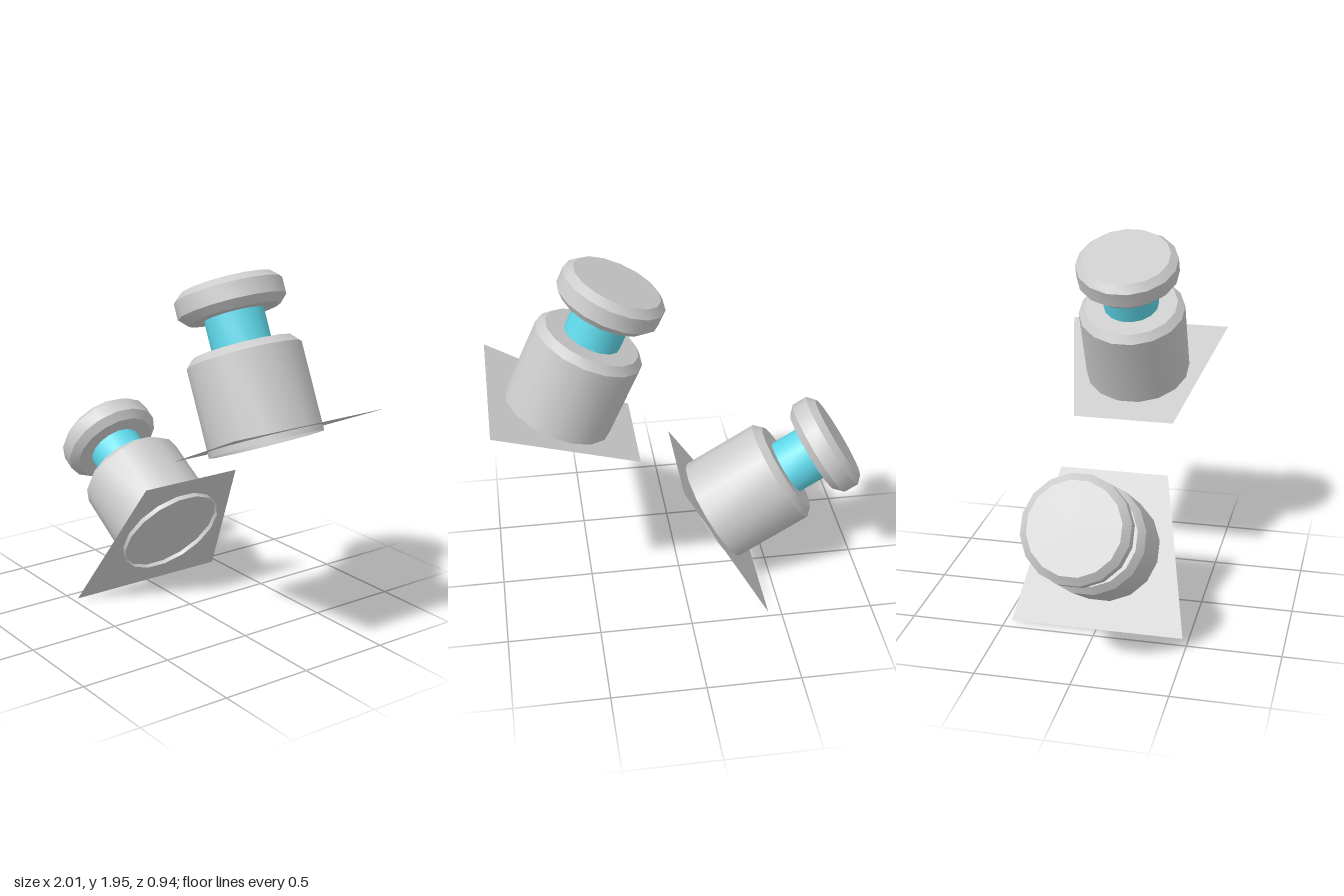
import * as THREE from 'three';
import { toCreasedNormals } from 'three/addons/utils/BufferGeometryUtils.js';

const SIDES = 16;
const grey = new THREE.MeshStandardMaterial({ color: 0xcccccc, side: THREE.DoubleSide });
const blue = new THREE.MeshStandardMaterial({ color: 0x5fd8ea, side: THREE.DoubleSide });

// Turned part: [radius, height] profile, with flats facing the main axes
function turned(name, profile, material) {
  const points = profile.map(([r, y]) => new THREE.Vector2(r, y));
  const lathe = new THREE.LatheGeometry(points, SIDES, Math.PI / SIDES);
  const mesh = new THREE.Mesh(toCreasedNormals(lathe, 0.6), material);
  mesh.name = name;
  return mesh;
}

// One plunger: open-bottomed body, coloured stem, chamfered cap
function plunger(name, x, y, tiltDegrees) {
  const group = new THREE.Group();
  group.name = name;
  group.add(
    turned('body', [[0.296, 0], [0.296, 0.46], [0.258, 0.5], [0, 0.5]], grey),
    turned('stem', [[0.154, 0.49], [0.154, 0.68]], blue),
    turned('cap', [[0, 0.67], [0.24, 0.67], [0.28, 0.71], [0.28, 0.795], [0.24, 0.832], [0, 0.832]], grey),
  );
  group.position.set(x, y, 0);
  group.rotation.z = THREE.MathUtils.degToRad(tiltDegrees);
  return group;
}

// Thin trapezoid sheet between two edges, each [x, y, half width in z]
function sheet(name, [x0, y0, w0], [x1, y1, w1]) {
  const geometry = new THREE.BufferGeometry();
  geometry.setAttribute('position', new THREE.Float32BufferAttribute(
    [x0, y0, w0, x1, y1, w1, x1, y1, -w1, x0, y0, -w0], 3));
  geometry.setIndex([0, 1, 2, 0, 2, 3]);
  geometry.computeVertexNormals();
  const mesh = new THREE.Mesh(geometry, grey);
  mesh.name = name;
  return mesh;
}

export function createModel() {
  const model = new THREE.Group();
  model.name = 'plungerPair';
  model.add(
    plunger('upperPlunger', 0.653, 1.1, 24.4),
    sheet('upperSheet', [0.24, 0.95, 0.28], [1, 1.29, 0.465]),
    plunger('lowerPlunger', -0.177, 0.37, 58.5),
    sheet('lowerSheet', [-0.43, 0, 0.468], [0.015, 0.735, 0.297]),
  );
  return model;
}
